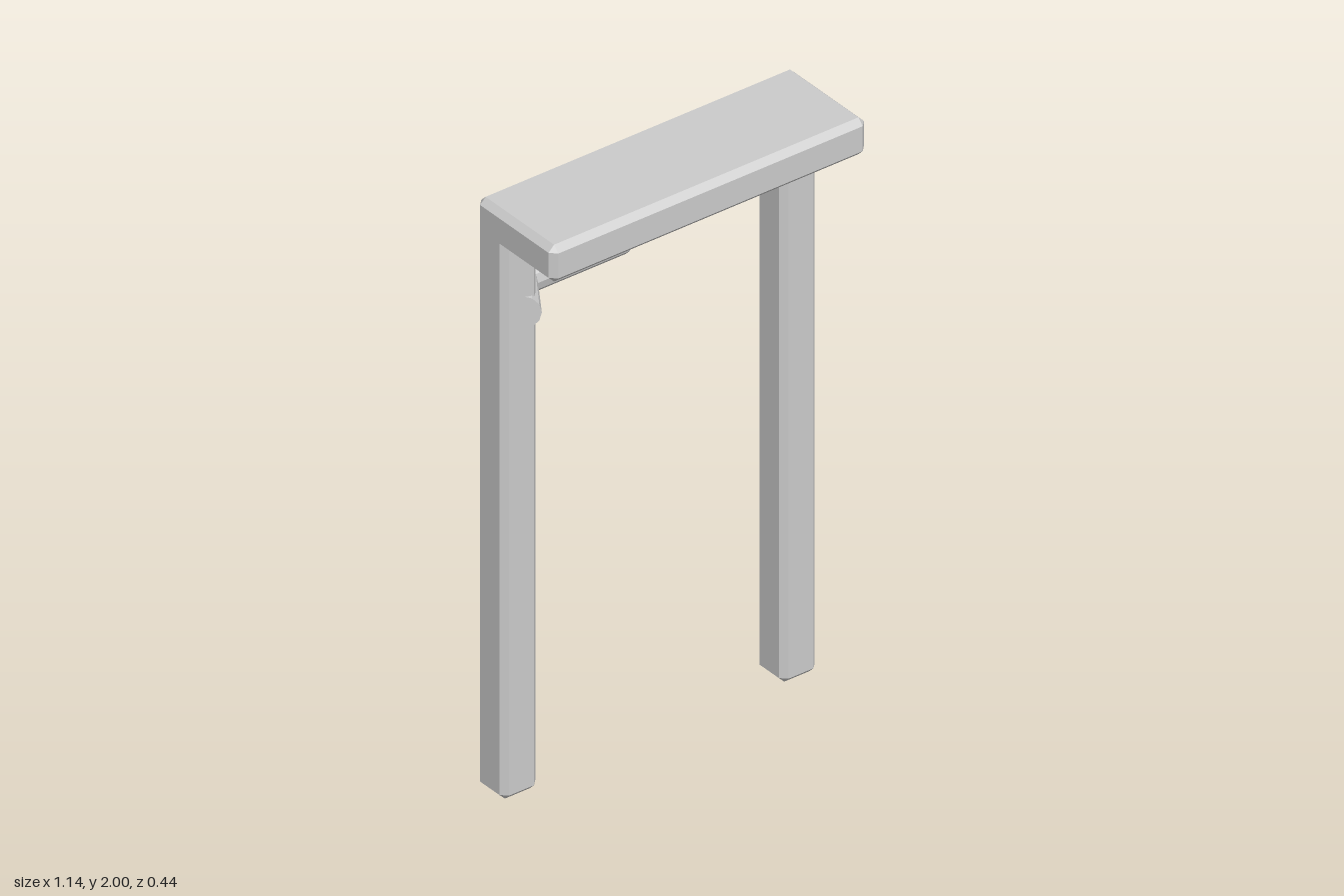
import * as THREE from 'three';
import { ConvexGeometry } from 'three/addons/geometries/ConvexGeometry.js';

const material = new THREE.MeshStandardMaterial({ color: 0xcccccc, flatShading: true });

// Box between two corners with every edge chamfered by b
function chamferedBox(name, min, max, b) {
  const half = max.map((v, i) => (v - min[i]) / 2);
  const points = [];
  for (const sx of [-1, 1]) for (const sy of [-1, 1]) for (const sz of [-1, 1]) {
    for (let axis = 0; axis < 3; axis++) {
      const p = half.map((h, i) => (i === axis ? h : h - b));
      points.push(new THREE.Vector3(sx * p[0], sy * p[1], sz * p[2]));
    }
  }
  const mesh = new THREE.Mesh(new ConvexGeometry(points), material);
  mesh.name = name;
  mesh.position.set(...max.map((v, i) => (v + min[i]) / 2));
  return mesh;
}

// Bent bar: a cylinder whose three rings are moved onto an angled path
function bentBar() {
  const rings = [
    { x: -0.498, z: -0.014, tilt: 0.91, stretch: 1 },    // end in the post
    { x: -0.388, z: -0.165, tilt: 0.36, stretch: 1.06 }, // elbow
    { x: -0.03, z: -0.165, tilt: 0, stretch: 1 },        // free end
  ];
  const geometry = new THREE.CylinderGeometry(0.055, 0.055, 1, 12, 2).toNonIndexed();
  const pos = geometry.attributes.position;
  for (let i = 0; i < pos.count; i++) {
    const ring = rings[Math.round((pos.getY(i) + 0.5) * 2)];
    const across = pos.getX(i) * ring.stretch;
    pos.setXYZ(i,
      ring.x + across * Math.sin(ring.tilt),
      1.64 + pos.getZ(i),
      ring.z + across * Math.cos(ring.tilt));
  }
  geometry.computeVertexNormals();
  const mesh = new THREE.Mesh(geometry, material);
  mesh.name = 'bentBar';
  return mesh;
}

export function createModel() {
  const group = new THREE.Group();
  group.name = 'postFrame';

  // Overhanging top, flush with the posts at the back and sides
  group.add(chamferedBox('top', [-0.57, 1.875, -0.14], [0.57, 2, 0.22], 0.02));

  // Two posts, running up into the top
  group.add(chamferedBox('leftPost', [0.44, 0, -0.14], [0.57, 1.96, -0.01], 0.02));
  group.add(chamferedBox('rightPost', [-0.57, 0, -0.14], [-0.44, 1.96, -0.01], 0.02));

  // Bar passing through the right post
  group.add(bentBar());
  return group;
}
